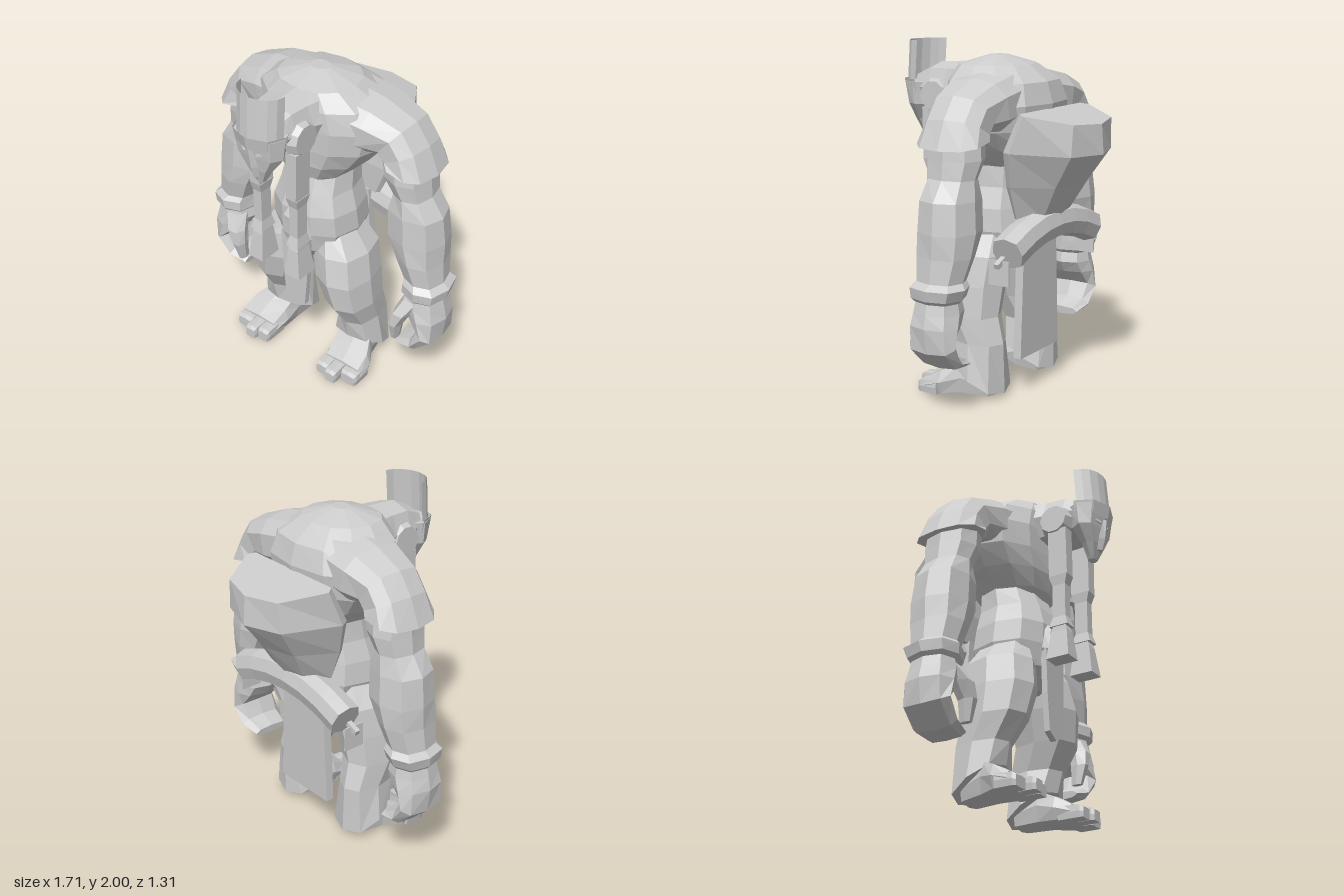
import * as THREE from 'three';

const stone = new THREE.MeshStandardMaterial({ color: 0xcccccc });
stone.name = 'stone grey';
const HALF = Math.PI / 2;

// Unit cross-section: rounded (power near 1) to boxy (power near 0).
function oval(sides = 8, power = 0.8, phase = 0) {
  const round = (v) => (Math.abs(v) < 1e-6 ? 0 : Math.sign(v) * Math.pow(Math.abs(v), power));
  return Array.from({ length: sides }, (_, j) => {
    const t = (j / sides) * Math.PI * 2 + phase;
    return [round(Math.cos(t)), round(Math.sin(t))];
  });
}

// Skin a row of rings [x, y, z, halfX, halfZ, tiltZ, tiltX], capped at both ends.
// Each ring's normal (up when untilted) points to the next ring.
function loft(rings, outline = oval()) {
  const pos = [], index = [], n = outline.length, last = rings.length - 1;
  rings.forEach(([x, y, z, a, b, tz = 0, tx = 0]) => {
    outline.forEach(([u, v]) => {
      const p = new THREE.Vector3(a * u, 0, b * v).applyEuler(new THREE.Euler(tx, 0, tz));
      pos.push(x + p.x, y + p.y, z + p.z);
    });
  });
  for (let i = 0; i < last; i++) {
    for (let j = 0; j < n; j++) {
      const k = (j + 1) % n, a = i * n + j, b = a + n, c = (i + 1) * n + k, d = i * n + k;
      index.push(a, b, c, a, c, d);
    }
  }
  for (let j = 1; j < n - 1; j++) {
    index.push(0, j, j + 1);
    index.push(last * n, last * n + j + 1, last * n + j);
  }
  const g = new THREE.BufferGeometry();
  g.setAttribute('position', new THREE.Float32BufferAttribute(pos, 3));
  g.setIndex(index);
  return g;
}

// Faceted mesh; side -1 mirrors it and reverses its corners.
function facet(name, geometry, side = 1, material = stone) {
  let g = geometry.clone();
  if (side < 0) {
    const a = g.index.array;
    for (let i = 0; i < a.length; i += 3) [a[i], a[i + 1]] = [a[i + 1], a[i]];
    g.scale(-1, 1, 1);
  }
  if (g.index) g = g.toNonIndexed();
  g.computeVertexNormals();
  const m = new THREE.Mesh(g, material);
  m.name = name;
  return m;
}

function cloth(points, depth, z) {
  const s = new THREE.Shape(points.map(([x, y]) => new THREE.Vector2(x, y)));
  return new THREE.ExtrudeGeometry(s, { depth, bevelEnabled: false }).translate(0, 0, z);
}

export function createModel() {
  const model = new THREE.Group();
  model.name = 'hunchedGiant';
  const open = stone.clone();
  open.name = 'stone grey two sided';
  open.side = THREE.DoubleSide;
  const add = (name, g, side, mat) => model.add(facet(name, g, side, mat));
  const pair = (name, g) => [1, -1].forEach((s) => add((s > 0 ? 'left' : 'right') + name, g, s));

  // Trunk
  add('chest', loft([
    [0, 1.26, 0.02, 0.15, 0.13], [0, 1.32, 0.01, 0.21, 0.22], [0, 1.42, -0.01, 0.31, 0.275],
    [0, 1.53, -0.02, 0.4, 0.295], [0, 1.67, -0.025, 0.43, 0.305], [0, 1.79, -0.01, 0.37, 0.285],
    [0, 1.88, 0.03, 0.24, 0.21], [0, 1.93, 0.03, 0.06, 0.05]], oval(12, 0.9)));
  add('belly', loft([
    [0, 0.72, 0.02, 0.1, 0.14], [0, 0.82, 0.02, 0.22, 0.22], [0, 0.95, 0.02, 0.27, 0.24],
    [0, 1.08, 0.03, 0.26, 0.235], [0, 1.2, 0.02, 0.22, 0.21], [0, 1.32, 0, 0.21, 0.18]], oval(10)));
  add('beltKnot', loft([[0, 0.84, 0.24, 0.06, 0.03], [0, 0.92, 0.25, 0.11, 0.04],
    [0, 1.04, 0.25, 0.09, 0.045], [0, 1.08, 0.24, 0.07, 0.03]]));

  // Loincloth
  add('frontCloth', cloth([[0.1, 0.92], [0.09, 0.65], [0.07, 0.43], [0, 0.39], [-0.07, 0.43],
    [-0.09, 0.65], [-0.1, 0.92]], 0.035, 0.235));
  add('backCloth', cloth([[-0.17, 1.05], [-0.21, 0.22], [0.21, 0.22], [0.17, 1.05]], 0.05, -0.255));

  // Arms
  pair('Shoulder', loft([
    [0.585, 1.5, -0.06, 0.15, 0.205, -0.2], [0.545, 1.57, -0.06, 0.135, 0.185, 0.45],
    [0.49, 1.64, -0.06, 0.14, 0.185, 0.9], [0.35, 1.67, -0.05, 0.16, 0.22, 1.35],
    [0.15, 1.7, -0.03, 0.17, 0.24, HALF]], oval(10)));
  pair('Arm', loft([
    [0.715, 0.66, -0.05, 0.11, 0.13], [0.715, 0.68, -0.05, 0.13, 0.15],
    [0.72, 0.74, -0.06, 0.135, 0.165], [0.7, 0.77, -0.06, 0.115, 0.135],
    [0.665, 0.9, -0.065, 0.136, 0.16], [0.63, 1.03, -0.07, 0.17, 0.165],
    [0.615, 1.2, -0.065, 0.165, 0.155], [0.595, 1.31, -0.065, 0.107, 0.14],
    [0.56, 1.41, -0.065, 0.13, 0.16], [0.545, 1.53, -0.06, 0.135, 0.15]]));
  pair('Hand', loft([
    [0.59, 0.29, -0.05, 0.025, 0.12, -1.5], [0.7, 0.32, -0.05, 0.045, 0.14, -1.15],
    [0.78, 0.42, -0.05, 0.065, 0.15, -0.5], [0.745, 0.53, -0.05, 0.11, 0.145],
    [0.715, 0.6, -0.05, 0.125, 0.135], [0.715, 0.68, -0.05, 0.105, 0.12]]));
  pair('Thumb', loft([[0.595, 0.34, 0.07, 0.02, 0.035], [0.605, 0.46, 0.085, 0.035, 0.055],
    [0.635, 0.55, 0.07, 0.055, 0.065], [0.68, 0.64, 0.01, 0.07, 0.07]], oval(6)));

  // Legs and broad three-toed feet
  pair('Trouser', loft([
    [0.275, 0.11, -0.035, 0.155, 0.175, 0, -0.5], [0.285, 0.32, -0.02, 0.115, 0.165],
    [0.27, 0.47, 0.05, 0.14, 0.19], [0.235, 0.65, 0.06, 0.16, 0.21],
    [0.2, 0.82, 0.04, 0.16, 0.2], [0.15, 0.95, 0.03, 0.1, 0.15]]));
  pair('Foot', loft([
    [0.27, 0.08, -0.12, 0.09, 0.08, 0, HALF], [0.29, 0.11, 0.03, 0.11, 0.11, 0, HALF],
    [0.32, 0.08, 0.14, 0.145, 0.08, 0, HALF], [0.33, 0.05, 0.24, 0.14, 0.05, 0, HALF]], oval(8, 0.5)));
  [[0.235, 0.32, 0.044], [0.315, 0.345, 0.04], [0.41, 0.29, 0.058]].forEach(([x, end, w]) => {
    pair('Toe', loft([[x, 0.045, 0.16, w, 0.045, 0, HALF], [x, 0.04, end - 0.02, w, 0.04, 0, HALF],
      [x, 0.033, end, w * 0.85, 0.033, 0, HALF]], oval(8, 0.3)));
  });

  // Head, reaching forward from the chest
  add('hood', loft([
    [0, 1.72, 0.15, 0.22, 0.17, 0, HALF], [0, 1.735, 0.3, 0.17, 0.145, 0, HALF],
    [0, 1.74, 0.42, 0.155, 0.135, 0, HALF], [0, 1.72, 0.53, 0.135, 0.105, 0, HALF]]));
  add('face', loft([
    [0, 1.45, 0.53, 0.03, 0.025], [0, 1.54, 0.535, 0.085, 0.05],
    [0, 1.63, 0.525, 0.15, 0.08], [0, 1.76, 0.52, 0.165, 0.11]]));
  add('nose', loft([[0, 1.5, 0.575, 0.025, 0.02], [0, 1.57, 0.59, 0.03, 0.025],
    [0, 1.69, 0.61, 0.015, 0.02]], oval(4, 1)));
  pair('Eye', new THREE.BoxGeometry(0.05, 0.014, 0.008).rotateZ(0.25).rotateY(0.5)
    .translate(0.06, 1.665, 0.602));
  const band = new THREE.CylinderGeometry(1, 0.88, 0.08, 4, 1, true, -HALF, Math.PI);
  add('browBand', band.scale(0.172, 1, 0.15).translate(0, 1.735, 0.505), 1, open);
  const crown = new THREE.CylinderGeometry(1, 1, 0.24, 8, 1, true, -HALF, Math.PI);
  crown.scale(0.148, 1, 0.12);
  const p = crown.attributes.position;
  for (let i = 0; i < p.count; i++) p.setZ(i, p.getZ(i) + 0.505 - p.getY(i) * 0.07);
  add('tallHeaddress', crown.translate(0, 1.88, 0), 1, open);

  // Ear discs and hanging braids
  pair('EarDisc', new THREE.CylinderGeometry(0.085, 0.11, 0.06, 10).rotateZ(-HALF)
    .translate(0.15, 1.69, 0.37));
  const square = oval(4, 0.3, Math.PI / 4);
  pair('UpperBraid', loft([[0.13, 1.32, 0.39, 0.038, 0.065], [0.135, 1.62, 0.39, 0.04, 0.065]], square));
  pair('LowerBraid', loft([[0.13, 1.0, 0.39, 0.045, 0.065], [0.13, 1.06, 0.39, 0.032, 0.045],
    [0.13, 1.26, 0.39, 0.032, 0.045], [0.13, 1.32, 0.39, 0.042, 0.065]], square));
  pair('Tassel', loft([[0.135, 0.8, 0.39, 0.06, 0.078], [0.13, 0.97, 0.39, 0.038, 0.055],
    [0.13, 1.0, 0.39, 0.035, 0.045]], square));

  // Sack on the back: flat against the spine, pointed behind
  const sackOutline = [[1, 0.75], [0.92, 1], [0, 1], [-0.92, 1], [-1, 0.75],
    [-0.6, -0.65], [0, -1], [0.6, -0.65]];
  add('sack', loft([
    [0, 1.04, -0.3, 0.23, 0.085], [0, 1.23, -0.36, 0.31, 0.155],
    [0, 1.42, -0.44, 0.38, 0.215, 0, -0.05], [0, 1.61, -0.48, 0.36, 0.165, 0, -0.2]], sackOutline));

  // Drooping bedroll slung behind the hips, with a tag at each end
  const roll = [];
  for (let i = 0; i <= 6; i++) {
    const u = 1 - i / 3;
    roll.push([0.445 * u, 0.995 - 0.1 * u * u, -0.315, 0.095, 0.095, HALF - 0.38 * u]);
  }
  add('bedroll', loft(roll));
  pair('RollTag', new THREE.BoxGeometry(0.008, 0.14, 0.13).translate(0.475, 0.79, -0.28));
  pair('RollPeg', new THREE.BoxGeometry(0.08, 0.03, 0.03).rotateZ(-0.4).translate(0.48, 0.85, -0.29));
  return model;
}
